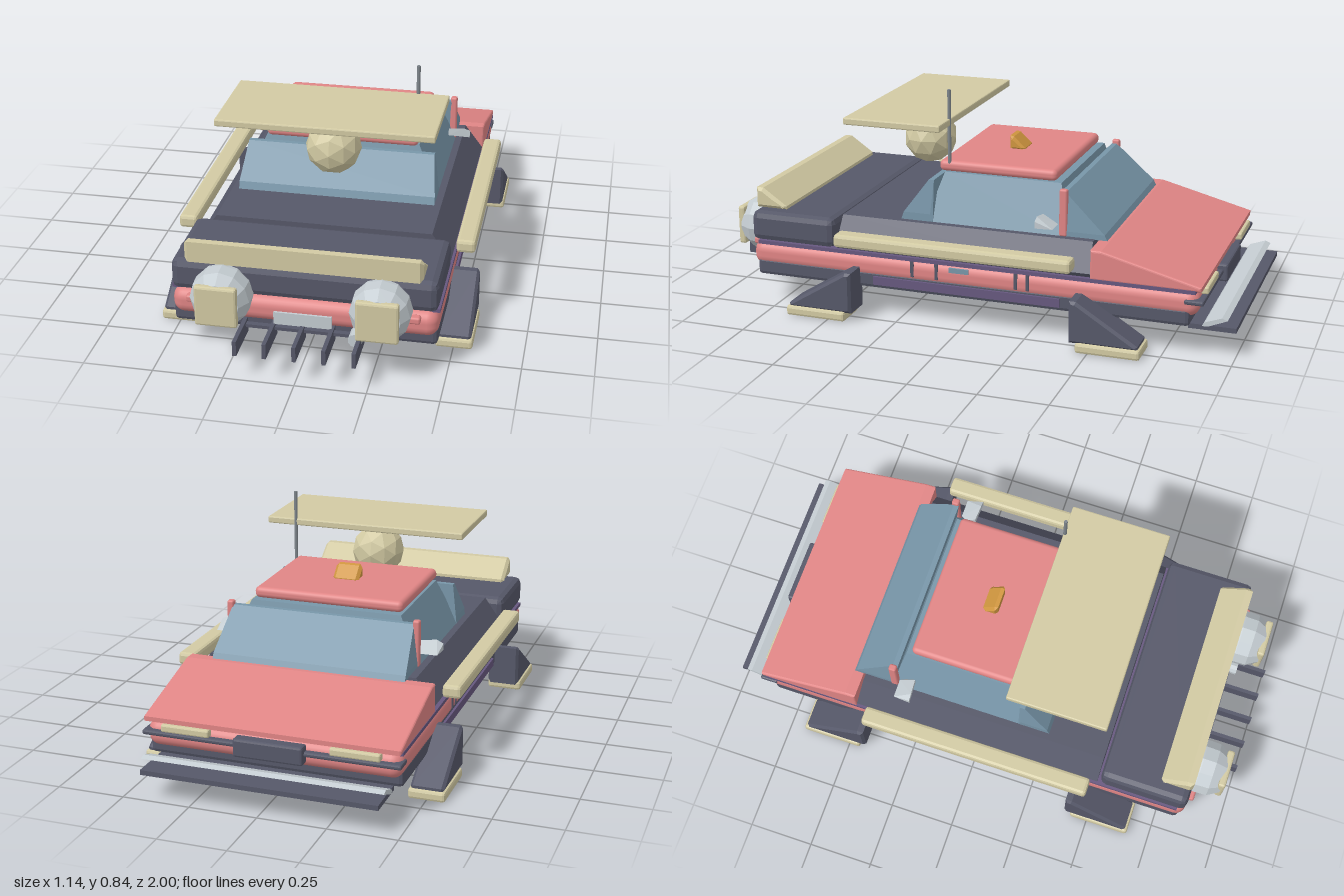
import * as THREE from 'three';
import { RoundedBoxGeometry } from 'three/addons/geometries/RoundedBoxGeometry.js';
import { ConvexGeometry } from 'three/addons/geometries/ConvexGeometry.js';

function mat(name, color, flat = false) {
  const m = new THREE.MeshStandardMaterial({ color, flatShading: flat });
  m.name = name;
  return m;
}

export function createModel() {
  const group = new THREE.Group();
  const pink = mat('pinkPaint', 0xe08585);
  const dark = mat('darkMetal', 0x565869, true);
  const beige = mat('beigePanel', 0xd2caa3, true);
  const glass = mat('blueGlass', 0x7896a9, true);
  const grey = mat('lightGrey', 0xc4ccd1, true);
  const steel = mat('steel', 0x7f868c);
  const purple = mat('purpleTrim', 0x67587f);
  const orange = mat('orangeLamp', 0xd0963f, true);

  function add(name, geo, material) {
    const mesh = new THREE.Mesh(geo, material);
    mesh.name = name;
    group.add(mesh);
    return mesh;
  }
  // Box given by its extents, with an optional chamfer or rounding
  function box(name, material, [x0, x1], [y0, y1], [z0, z1], r = 0, seg = 1) {
    const s = [x1 - x0, y1 - y0, z1 - z0];
    const geo = r ? new RoundedBoxGeometry(...s, seg, r) : new THREE.BoxGeometry(...s);
    geo.translate((x0 + x1) / 2, (y0 + y1) / 2, (z0 + z1) / 2);
    return add(name, geo, material);
  }
  // Side outline of [z, y] points extruded from x0 to x1
  function prism(name, material, pts, x0, x1, bevel = 0, seg = 1) {
    const shape = new THREE.Shape(pts.map(([z, y]) => new THREE.Vector2(z, y)));
    const geo = new THREE.ExtrudeGeometry(shape, {
      depth: x1 - x0 - 2 * bevel, bevelEnabled: bevel > 0, bevelSize: bevel,
      bevelThickness: bevel, bevelOffset: -bevel, bevelSegments: seg,
    });
    geo.rotateY(-Math.PI / 2).translate(x1 - bevel, 0, 0);
    return add(name, geo, material);
  }
  // Symmetric solid through sections of [halfWidth, y, zBack, zFront]
  function loft(name, material, rows) {
    const pts = [];
    for (const [x, y, z0, z1] of rows)
      for (const s of [-1, 1]) for (const z of [z0, z1]) pts.push(new THREE.Vector3(s * x, y, z));
    return add(name, new ConvexGeometry(pts), material);
  }
  const pair = (a, b, s) => (s > 0 ? [a, b] : [-b, -a]);

  // Lower body
  box('chassis', dark, [-0.465, 0.465], [0.11, 0.18], [-0.84, 0.83], 0.015);
  box('lowerBody', pink, [-0.468, 0.468], [0.145, 0.242], [-0.87, 0.85], 0.04, 3);
  box('beltTrim', purple, [-0.471, 0.471], [0.236, 0.25], [-0.86, 0.82]);
  loft('middleDeck', dark, [
    [0.455, 0.25, -0.48, 0.5], [0.465, 0.265, -0.48, 0.5],
    [0.395, 0.362, -0.47, 0.5],
  ]);
  box('rearDeck', dark, [-0.467, 0.467], [0.245, 0.36], [0.51, 0.85], 0.025);

  // Hood
  prism('hood', pink, [[-0.48, 0.245], [-0.48, 0.355], [-0.52, 0.355], [-0.88, 0.262], [-0.88, 0.245]].reverse(),
    -0.47, 0.47, 0.008, 3);

  // Cabin
  loft('cabinGlass', glass, [[0.37, 0.36, -0.36, 0.18], [0.29, 0.535, -0.32, 0.13]]);
  loft('windshield', glass, [[0.367, 0.36, -0.515, -0.35], [0.367, 0.38, -0.505, -0.35], [0.35, 0.52, -0.355, -0.335]]);
  loft('rearWindow', glass, [[0.37, 0.36, 0.15, 0.275], [0.37, 0.39, 0.16, 0.265], [0.353, 0.518, 0.15, 0.17]]);
  box('roof', pink, [-0.288, 0.288], [0.535, 0.577], [-0.3, 0.155], 0.018, 3);

  // Roof equipment
  prism('beacon', orange, [[-0.04, 0.57], [-0.04, 0.625], [-0.055, 0.622], [-0.1, 0.58], [-0.1, 0.57]].reverse(),
    -0.052, 0.052, 0.012);
  add('antenna', new THREE.CylinderGeometry(0.007, 0.007, 0.285, 8), steel).position.set(0.28, 0.702, 0.115);
  box('overheadPanel', beige, [-0.396, 0.396], [0.709, 0.736], [0.11, 0.49], 0.005);
  add('dome', new THREE.IcosahedronGeometry(0.104, 1), beige).position.set(0, 0.585, 0.3);

  // Spoiler
  prism('spoiler', beige, [[0.73, 0.36], [0.852, 0.36], [0.852, 0.437], [0.825, 0.437], [0.73, 0.372]],
    -0.415, 0.415, 0.012);

  // Mirrored parts
  for (const s of [-1, 1]) {
    box('sideTube', beige, pair(0.478, 0.547, s), [0.283, 0.332], [-0.43, 0.475], 0.012);
    box('sideSkirt', purple, pair(0.462, 0.474, s), [0.128, 0.16], [-0.37, 0.35]);
    box('windowPost', pink, pair(0.346, 0.372, s), [0.36, 0.535], [-0.365, -0.335], 0.007);
    const mirror = add('mirror', new ConvexGeometry([
      [0.35, 0.4, -0.31], [0.35, 0.43, -0.27], [0.35, 0.4, -0.27], [0.43, 0.4, -0.33],
      [0.435, 0.4, -0.265], [0.435, 0.425, -0.265], [0.41, 0.437, -0.265], [0.36, 0.4, -0.33],
    ].map(([x, y, z]) => new THREE.Vector3(s * x, y, z))), grey);
    mirror.position.y = 0.002;
    box('doorHandle', glass, pair(0.465, 0.473, s), [0.21, 0.228], [-0.025, 0.05]);
    for (const z of [0.195, 0.1, -0.205, -0.25])
      box('doorSeam', dark, pair(0.465, 0.471, s), [0.175, 0.236], [z - 0.006, z + 0.006]);
    box('tailLight', pink, pair(0.36, 0.41, s), [0.21, 0.236], [0.84, 0.872], 0.008);
    box('headlight', beige, pair(0.22, 0.4, s), [0.215, 0.243], [-0.892, -0.86], 0.006);

    // Landing legs, mirrored front to back
    for (const e of [-1, 1]) {
      const off = e > 0 ? 0 : 0.025;
      const z = (v) => e * (v + off);
      const legPts = [[z(0.405), 0.035], [z(0.655), 0.035], [z(0.655), 0.05], [z(0.43), 0.19], [z(0.405), 0.19]];
      if (e < 0) legPts.reverse();
      prism('leg', dark, legPts, ...pair(0.44, 0.562, s), 0.01);
      const foot = [z(0.43), z(0.665)].sort((a, b) => a - b);
      box('foot', beige, pair(0.434, 0.568, s), [0.002, 0.04], foot, 0.01);
    }

    // Thruster with square nozzle plate
    const profile = [[0, 0.82], [0.1, 0.82], [0.107, 0.86], [0.105, 0.91], [0.078, 0.955], [0, 0.96]];
    const pod = add('thruster', new THREE.LatheGeometry(
      profile.map(([r, y]) => new THREE.Vector2(r, y)), 12), grey);
    pod.rotation.x = Math.PI / 2;
    pod.position.set(s * 0.277, 0.257, 0);
    box('nozzlePlate', beige, pair(0.203, 0.351, s), [0.182, 0.332], [0.94, 0.968], 0.008);
  }

  // Thruster end details
  box('plate', grey, [-0.102, 0.102], [0.15, 0.197], [0.85, 0.858]);
  for (let i = -2; i <= 2; i++)
    box('fin', dark, [i * 0.103 - 0.007, i * 0.103 + 0.007], [0.096, 0.152], [0.83, 1]);
  box('finBar', dark, [-0.21, 0.21], [0.13, 0.142], [0.845, 0.865]);
  const exhaust = add('exhaust', new THREE.CylinderGeometry(0.025, 0.025, 0.08, 10), grey);
  exhaust.rotation.x = Math.PI / 2;
  exhaust.position.set(0.19, 0.134, 0.85);

  // Nose end details
  box('noseBand', dark, [-0.473, 0.473], [0.196, 0.214], [-0.89, -0.82], 0.006);
  box('grille', dark, [-0.13, 0.125], [0.167, 0.235], [-0.907, -0.86], 0.008);
  box('lowerBumper', dark, [-0.43, 0.43], [0.096, 0.114], [-1, -0.83]);
  prism('bumperBlade', grey, [[-0.88, 0.113], [-0.9, 0.113], [-0.97, 0.142], [-0.95, 0.15], [-0.89, 0.128]].reverse(),
    -0.44, 0.44);

  return group;
}
